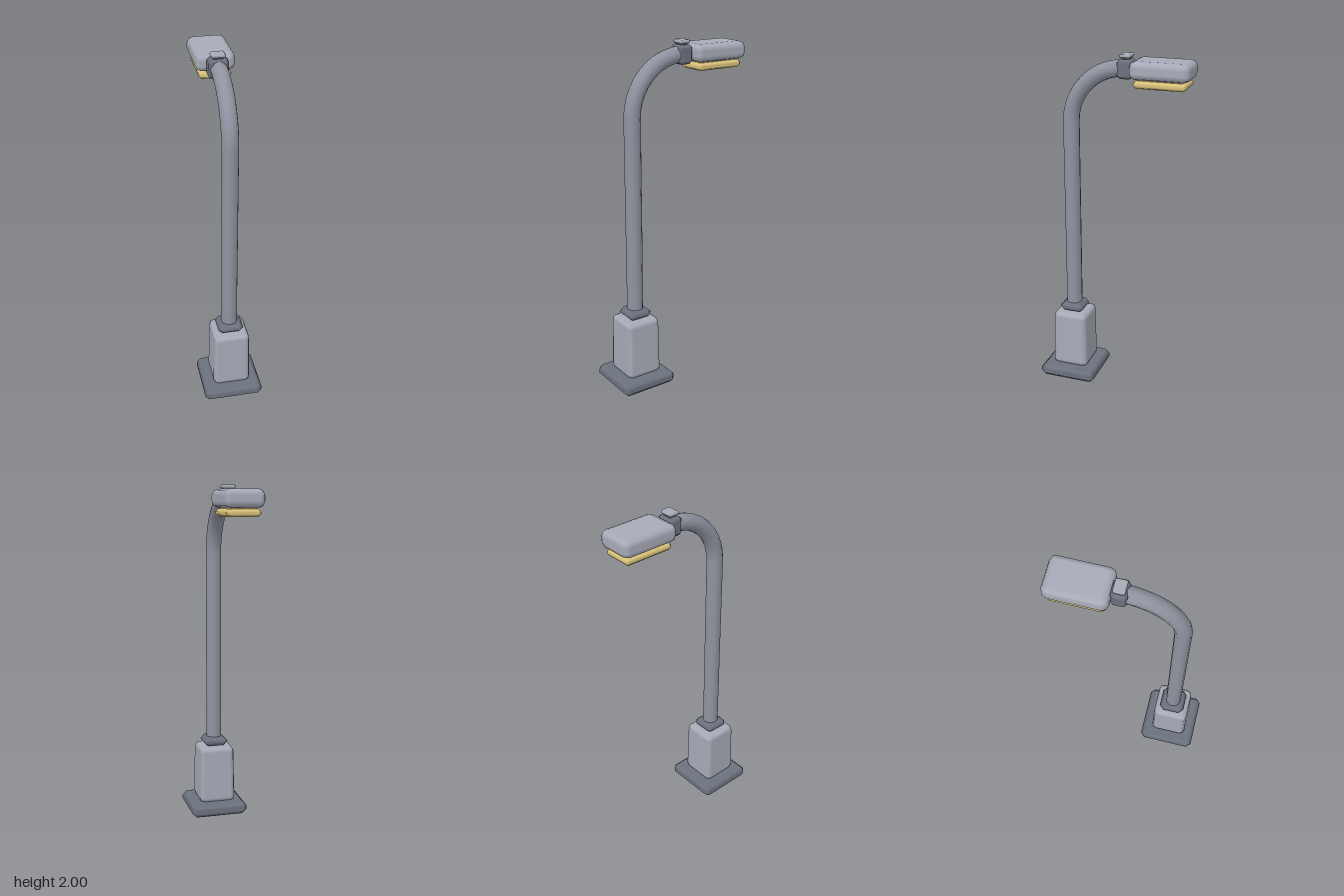
import * as THREE from 'three';

const makeMaterial = (name, color) => {
  const m = new THREE.MeshStandardMaterial({ color });
  m.name = name;
  return m;
};

// Box with bevelled edges and smooth normals: straight chamfer, or rounded in two steps
function bevelBox(w, h, d, bevel, rounded = false) {
  const geo = new THREE.BoxGeometry(1, 1, 1, 3, 3, 3);
  const pos = geo.attributes.position;
  const nor = geo.attributes.normal;
  const size = [w, h, d];
  for (let i = 0; i < pos.count; i++) {
    const unit = [pos.getX(i), pos.getY(i), pos.getZ(i)];
    const dir = new THREE.Vector3(...unit.map((v) => (Math.abs(v) > 0.4 ? Math.sign(v) : 0)));
    const length = rounded ? dir.length() : dir.manhattanLength();
    const p = new THREE.Vector3(...unit.map((v, k) => Math.sign(v) * (size[k] / 2 - bevel)));
    p.addScaledVector(dir, bevel / length);
    pos.setXYZ(i, p.x, p.y, p.z);
    dir.normalize();
    nor.setXYZ(i, dir.x, dir.y, dir.z);
  }
  return geo;
}

export function createModel() {
  const model = new THREE.Group();
  model.name = 'streetLamp';
  const light = makeMaterial('lightGrey', 0xa8abb8);
  const mid = makeMaterial('poleGrey', 0x9093a0);
  const dark = makeMaterial('darkGrey', 0x6b717e);
  const yellow = makeMaterial('lampYellow', 0xdac37a);

  const add = (name, geo, mat, y = 0, z = 0) => {
    const mesh = new THREE.Mesh(geo, mat);
    mesh.name = name;
    mesh.position.set(0, y, z);
    model.add(mesh);
    return mesh;
  };
  const poleZ = 0.265;

  // Foot plate
  add('basePlate', bevelBox(0.345, 0.075, 0.345, 0.027), dark, 0.0375, poleZ);

  // Housing, slightly narrower at the top
  const housing = bevelBox(0.22, 0.35, 0.22, 0.03, true);
  const hp = housing.attributes.position;
  for (let i = 0; i < hp.count; i++) {
    const s = 0.975 - 0.15 * hp.getY(i);
    hp.setX(i, hp.getX(i) * s);
    hp.setZ(i, hp.getZ(i) * s);
  }
  add('housing', housing, light, 0.245, poleZ);

  // Collar round the pole foot
  add('collar', bevelBox(0.15, 0.055, 0.15, 0.026), dark, 0.447, poleZ);

  // Pole: straight shaft, then a quarter bend towards the back
  const bendY = 1.6;
  const bendR = 0.32;
  const path = new THREE.CurvePath();
  path.add(new THREE.LineCurve3(
    new THREE.Vector3(0, 0.43, poleZ), new THREE.Vector3(0, bendY, poleZ)));
  add('shaft', new THREE.TubeGeometry(path, 1, 0.047, 12), mid);
  class Bend extends THREE.Curve {
    getPoint(t, target = new THREE.Vector3()) {
      const a = t * Math.PI / 2;
      return target.set(0, bendY + bendR * Math.sin(a), poleZ - bendR * (1 - Math.cos(a)));
    }
  }
  add('bend', new THREE.TubeGeometry(new Bend(), 10, 0.047, 12), mid);

  // Coupling between arm and lamp head, with a small cap
  add('coupling', bevelBox(0.112, 0.105, 0.088, 0.018), dark, 1.92, -0.062);
  add('capNeck', bevelBox(0.055, 0.03, 0.045, 0.004), dark, 1.972, -0.062);
  add('cap', bevelBox(0.08, 0.022, 0.064, 0.008), light, 1.989, -0.062);

  // Lamp head and lens
  add('lampHead', bevelBox(0.22, 0.1, 0.338, 0.036, true), light, 1.925, -0.268);
  add('lens', bevelBox(0.18, 0.042, 0.296, 0.017), yellow, 1.85, -0.268);
  // Hidden seat joining the lens to the head
  add('lensSeat', bevelBox(0.14, 0.03, 0.25, 0.004), yellow, 1.873, -0.268);
  return model;
}
